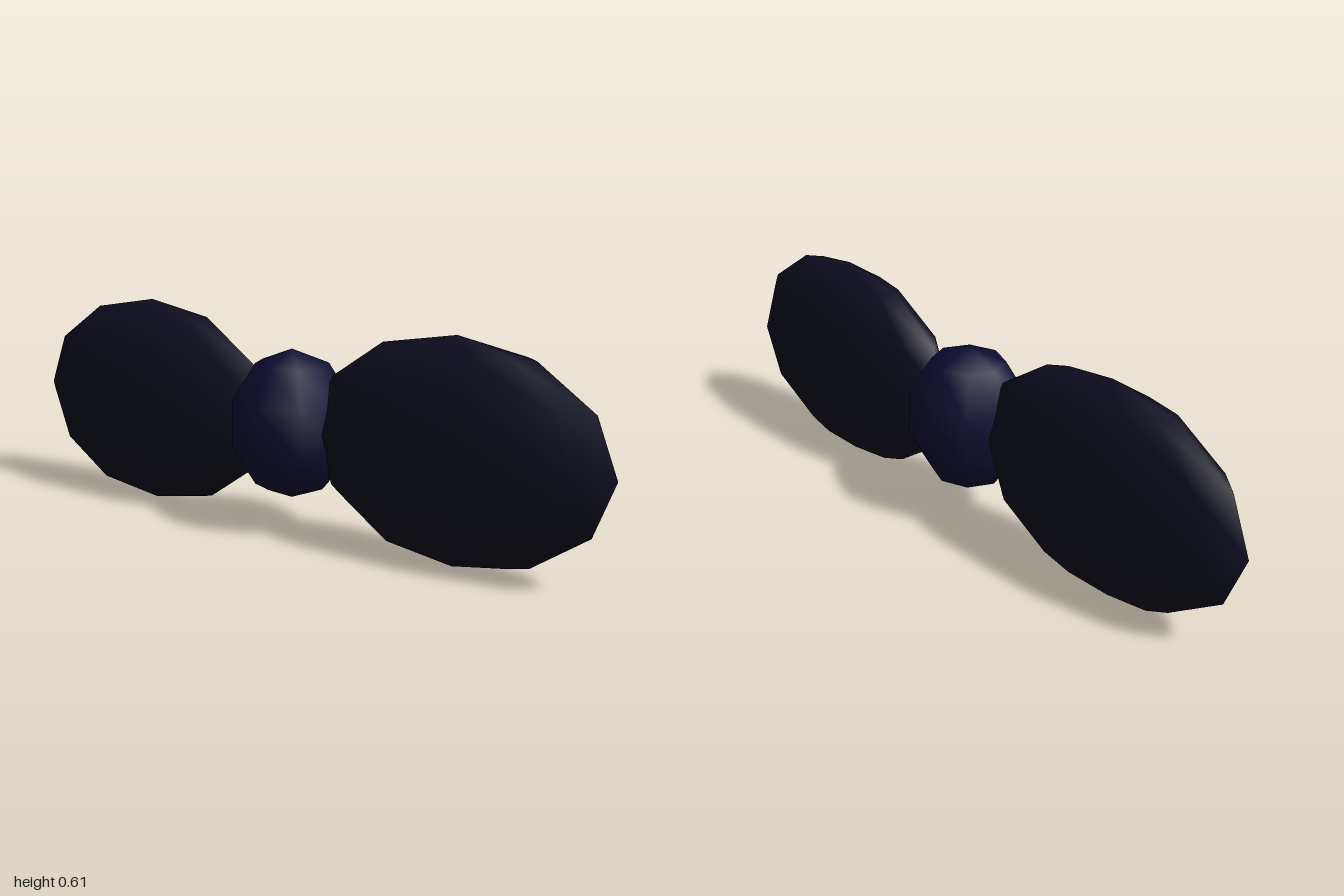
import * as THREE from 'three';

const CENTER_Y = 0.307;

// Smooth low-poly ellipsoid with its poles along y
function ellipsoid(name, material, [rx, ry, rz], around, high, x) {
  const geometry = new THREE.SphereGeometry(1, around, high);
  geometry.scale(rx, ry, rz);
  const mesh = new THREE.Mesh(geometry, material);
  mesh.name = name;
  mesh.position.set(x, CENTER_Y, 0);
  return mesh;
}

export function createModel() {
  const group = new THREE.Group();
  group.name = 'bowTie';

  const darkNavy = new THREE.MeshStandardMaterial({ color: 0x0d0d20 });
  darkNavy.name = 'dark navy';
  const navy = new THREE.MeshStandardMaterial({ color: 0x0d0d33 });
  navy.name = 'navy';

  // Flattened loops on both sides
  for (const [name, side] of [['leftLoop', 1], ['rightLoop', -1]]) {
    group.add(ellipsoid(name, darkNavy, [0.46, 0.307, 0.12], 10, 6, side * 0.54));
  }

  // Rounded knot in the middle
  group.add(ellipsoid('knot', navy, [0.184, 0.214, 0.17], 8, 5, 0));

  return group;
}
